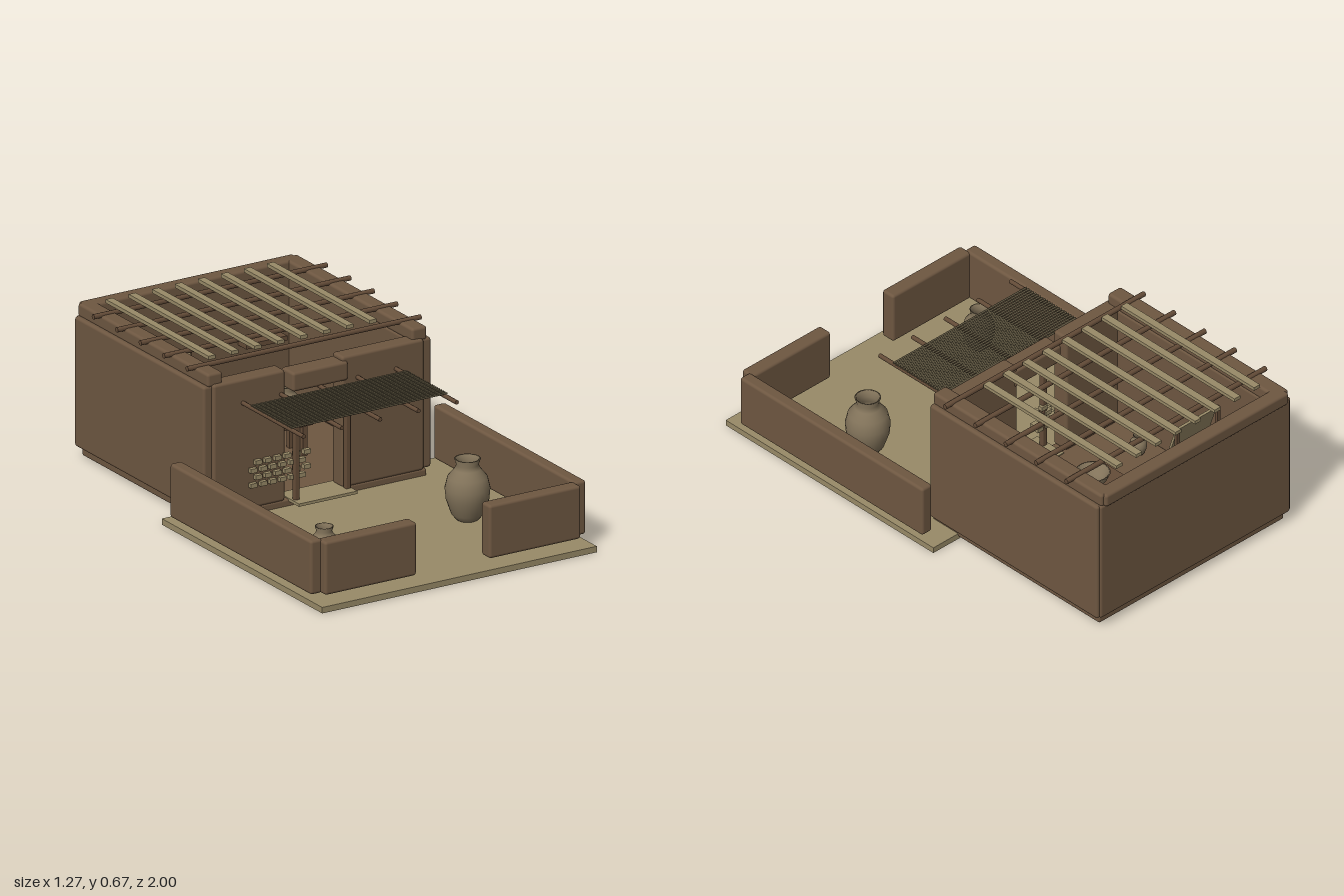
import * as THREE from 'three';
import { RoundedBoxGeometry } from 'three/addons/geometries/RoundedBoxGeometry.js';

function mat(name, color, side = THREE.FrontSide) {
  const m = new THREE.MeshStandardMaterial({ color, side });
  m.name = name;
  return m;
}

export function createModel() {
  const root = new THREE.Group();
  root.name = 'courtyardHouse';
  const mud = mat('mudBrown', 0x6e5741);
  const wood = mat('darkWood', 0x644c38);
  const straw = mat('strawTan', 0x988a67);
  const reed = mat('reedOlive', 0x655c45);
  const clay = mat('clay', 0x82735a, THREE.DoubleSide);

  const add = (name, geo, m, parent = root) => {
    const mesh = new THREE.Mesh(geo, m);
    mesh.name = name;
    parent.add(mesh);
    return mesh;
  };
  const group = (name) => {
    const g = new THREE.Group();
    g.name = name;
    root.add(g);
    return g;
  };
  // Boxes given by their minimum and maximum corners
  const place = (mesh, a, b) => mesh.position.set((a[0] + b[0]) / 2, (a[1] + b[1]) / 2, (a[2] + b[2]) / 2);
  const box = (name, a, b, m, parent) => {
    const mesh = add(name, new THREE.BoxGeometry(b[0] - a[0], b[1] - a[1], b[2] - a[2]), m, parent);
    place(mesh, a, b);
    return mesh;
  };
  const soft = (name, a, b, m, parent, r = 0.012) => {
    const mesh = add(name, new RoundedBoxGeometry(b[0] - a[0], b[1] - a[1], b[2] - a[2], 2, r), m, parent);
    place(mesh, a, b);
    return mesh;
  };
  // Round pole along x or z
  const pole = (name, axis, length, r, pos, m, parent) => {
    const geo = new THREE.CylinderGeometry(r, r, length, 8);
    if (axis === 'x') geo.rotateZ(Math.PI / 2);
    if (axis === 'z') geo.rotateX(Math.PI / 2);
    add(name, geo, m, parent).position.set(...pos);
  };
  // Jar with a flared lip and an open mouth
  const jar = (name, x, y, z, r, h) => {
    const profile = [[0, 0], [0.5, 0], [0.72, 0.1], [0.95, 0.34], [1, 0.52], [0.88, 0.7], [0.58, 0.83],
      [0.48, 0.9], [0.58, 1], [0.5, 1], [0.4, 0.9], [0.45, 0.8], [0.7, 0.6], [0, 0.2]];
    const curve = profile.map(([a, b]) => new THREE.Vector2(a * r, b * h));
    add(name, new THREE.LatheGeometry(curve, 28), clay).position.set(x, y, z);
  };

  // Ground and plinth
  box('courtyardGround', [-0.635, 0, -0.17], [0.635, 0.025, 1], straw);
  soft('plinth', [-0.5, 0.01, -0.965], [0.5, 0.052, -0.025], mud, root, 0.008);
  box('doorstep', [-0.14, 0.044, -0.1], [0.13, 0.056, 0.05], straw);

  // House walls
  const house = group('houseWalls');
  for (const s of [-1, 1]) {
    const x = [s * 0.435, s * 0.527].sort((a, b) => a - b);
    soft('sideWall', [x[0], 0.05, -0.98], [x[1], 0.592, -0.035], mud, house);
    const p = [s * 0.438, s * 0.508].sort((a, b) => a - b);
    soft('sideParapet', [p[0], 0.585, -0.985], [p[1], 0.642, -0.035], mud, house);
  }
  soft('backWall', [-0.515, 0.05, -0.988], [0.515, 0.592, -0.93], mud, house);
  soft('backParapet', [-0.495, 0.585, -1], [0.495, 0.642, -0.935], mud, house);
  soft('frontWallRight', [-0.49, 0.05, -0.095], [-0.158, 0.597, -0.02], mud, house);
  soft('frontWallLeft', [0.105, 0.05, -0.095], [0.485, 0.597, -0.02], mud, house);
  soft('doorLintel', [-0.13, 0.5, -0.098], [0.127, 0.58, -0.008], mud, house);
  for (const x of [-0.12, 0.117]) {
    soft('doorPost', [x - 0.012, 0.05, -0.015], [x + 0.012, 0.467, 0.008], wood, house, 0.005);
  }

  // Open roof: cross beams with slats above
  const roof = group('openRoof');
  for (let i = 0; i < 5; i++) {
    pole('roofBeam', 'x', 1.08, 0.011, [0, 0.641, -0.82 + i * 0.171], wood, roof);
  }
  for (let i = 0; i < 8; i++) {
    const x = -0.412 + i * 0.1065;
    box('roofSlat', [x - 0.016, 0.65, -0.905], [x + 0.016, 0.665, -0.155], straw, roof);
  }

  // Reed awning on five poles
  const awning = group('awning');
  for (let i = 0; i < 5; i++) {
    const x = -0.355 + i * 0.177;
    pole('awningPole', 'z', 0.45, 0.009, [x, 0.499, 0.2], wood, awning);
  }
  for (let i = 0; i < 23; i++) {
    pole('awningReed', 'x', 0.72, 0.004, [0, 0.51, 0.05 + i * 0.0132], reed, awning);
  }

  // Courtyard walls
  const yard = group('courtyardWalls');
  for (const s of [-1, 1]) {
    const x = [s * 0.582, s * 0.637].sort((a, b) => a - b);
    soft('yardSideWall', [x[0], 0.05, -0.11], [x[1], 0.275, 0.92], mud, yard);
    const f = [s * 0.168, s * 0.592].sort((a, b) => a - b);
    soft('yardFrontWall', [f[0], 0.05, 0.892], [f[1], 0.272, 0.955], mud, yard);
  }

  // Jars
  jar('largeJar', 0.37, 0.027, 0.475, 0.09, 0.252);
  jar('smallJar', -0.41, 0.027, 0.66, 0.064, 0.185);
  jar('indoorJar', 0.29, 0.05, -0.72, 0.06, 0.17);
  jar('smallIndoorJar', -0.35, 0.05, -0.3, 0.035, 0.09);

  // Staggered brick patches on the front and back walls
  const patch = (name, cx, y0, z, rows, cols) => {
    const g = group(name);
    for (let r = 0; r < rows; r++) {
      for (let c = 0; c < cols; c++) {
        const x = cx + (c - (cols - 1) / 2) * 0.045 + (r % 2 ? 0.011 : -0.011);
        const y = y0 + r * 0.031;
        box('brick', [x - 0.015, y - 0.009, z - 0.01], [x + 0.015, y + 0.009, z + 0.01], straw, g);
      }
    }
  };
  patch('frontBricks', -0.19, 0.15, -0.012, 4, 6);
  patch('backBricks', -0.23, 0.26, -0.922, 4, 7);

  // Table with a woven bowl
  const table = group('table');
  box('tableTop', [-0.075, 0.178, -0.53], [0.205, 0.196, -0.39], wood, table);
  for (const x of [-0.045, 0.175]) {
    for (const z of [-0.51, -0.41]) {
      box('tableLeg', [x - 0.01, 0.05, z - 0.01], [x + 0.01, 0.18, z + 0.01], wood, table);
    }
  }
  const bowlProfile = [[0, 0.197], [0.04, 0.197], [0.058, 0.222], [0.07, 0.25], [0.063, 0.25], [0.04, 0.21], [0, 0.207]];
  add('bowl', new THREE.LatheGeometry(bowlProfile.map((p) => new THREE.Vector2(...p)), 20), clay, table)
    .position.set(0.05, 0, -0.46);

  // Woven floor mat
  const mat1 = group('floorMat');
  for (let i = 0; i < 6; i++) {
    const x = -0.225 + i * 0.038, z = -0.785 + i * 0.038;
    box('matStrip', [x - 0.014, 0.052, -0.8], [x + 0.014, 0.057, -0.58], straw, mat1);
    box('matWeft', [-0.24, 0.052, z - 0.014], [-0.02, 0.06, z + 0.014], straw, mat1);
  }

  // Leaning cloth frame and wall shelf
  const cloth = box('leaningCloth', [-0.38, 0.2, -0.665], [-0.17, 0.48, -0.655], straw);
  cloth.rotation.x = -0.32;
  for (const x of [-0.385, -0.165]) {
    box('clothFramePost', [x - 0.008, 0.05, -0.72], [x + 0.008, 0.48, -0.704], wood);
  }
  box('wallShelf', [0.2, 0.34, -0.935], [0.39, 0.36, -0.87], wood);

  return root;
}
